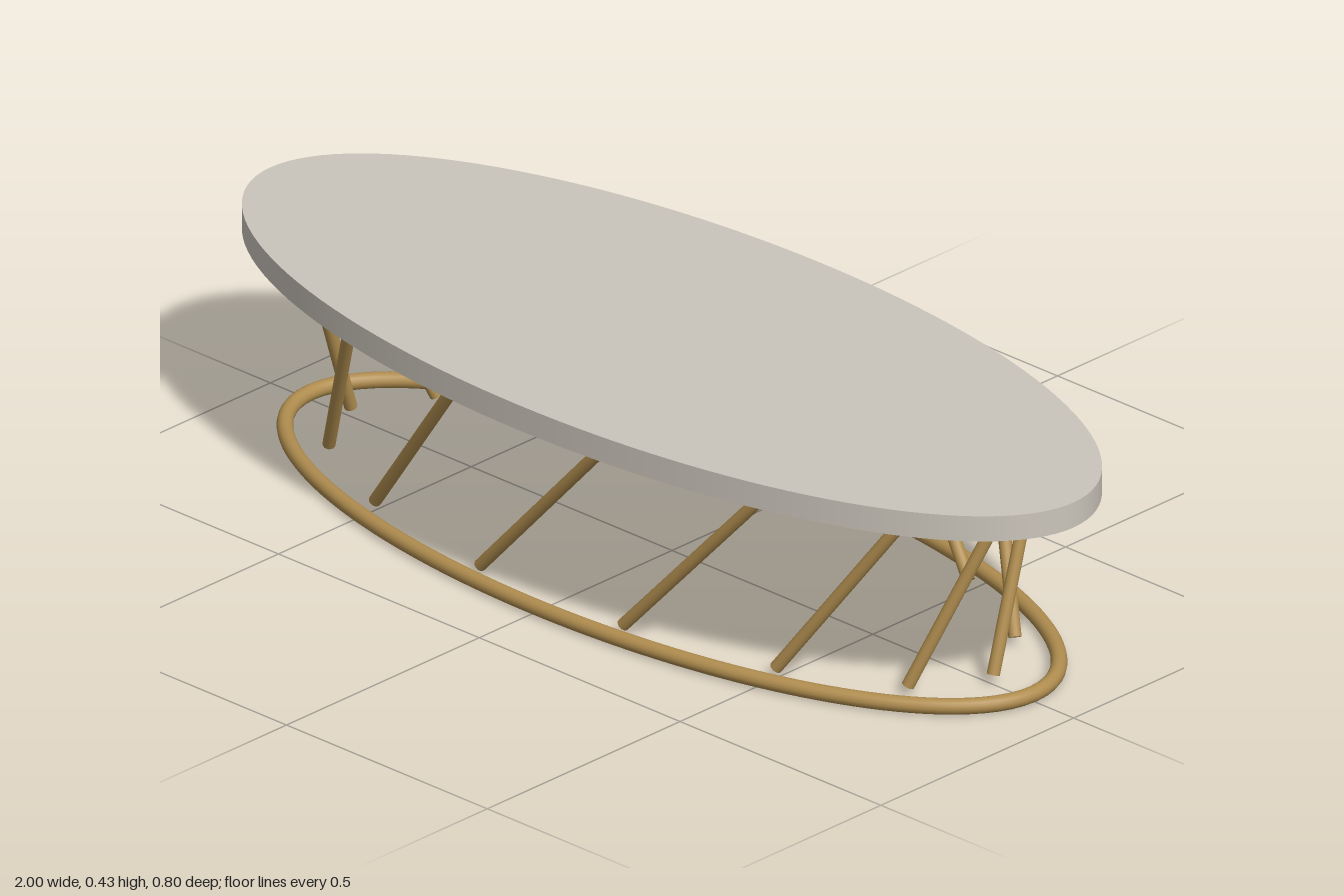
import * as THREE from 'three';

// Point on an ellipse whose depth is 0.4 of its width
const DEPTH = 0.4;
const onEllipse = (radius, angle, y) =>
  new THREE.Vector3(radius * Math.cos(angle), y, radius * DEPTH * Math.sin(angle));

export function createModel() {
  const group = new THREE.Group();
  const stone = new THREE.MeshStandardMaterial({ color: 0xcbc5bb });
  const brass = new THREE.MeshStandardMaterial({ color: 0xb08d4f });

  const add = (name, geometry, material) => {
    const mesh = new THREE.Mesh(geometry, material);
    mesh.name = name;
    group.add(mesh);
    return mesh;
  };

  // Oval slab top
  const topGeometry = new THREE.CylinderGeometry(1, 1, 0.05, 128);
  topGeometry.scale(1, 1, DEPTH);
  add('tabletop', topGeometry, stone).position.y = 0.405;

  // Oval floor ring of constant thickness
  const ringPoints = Array.from({ length: 48 }, (_, i) =>
    onEllipse(0.9, (i / 48) * Math.PI * 2, 0.015));
  const ringPath = new THREE.CatmullRomCurve3(ringPoints, true);
  add('baseRing', new THREE.TubeGeometry(ringPath, 160, 0.015, 16, true), brass);

  // Slanted rods, all leaning the same way round the oval
  const ROD_COUNT = 14;
  const TWIST = 0.4;
  const up = new THREE.Vector3(0, 1, 0);
  for (let i = 0; i < ROD_COUNT; i++) {
    const angle = (i / ROD_COUNT) * Math.PI * 2;
    const foot = onEllipse(0.8, angle, 0.02);
    const head = onEllipse(0.84, angle - TWIST, 0.368);
    const axis = head.clone().sub(foot);
    const rod = add(`rod${i + 1}`, new THREE.CylinderGeometry(0.012, 0.012, axis.length(), 16), brass);
    rod.position.copy(foot).add(head).multiplyScalar(0.5);
    rod.quaternion.setFromUnitVectors(up, axis.normalize());
  }

  return group;
}
